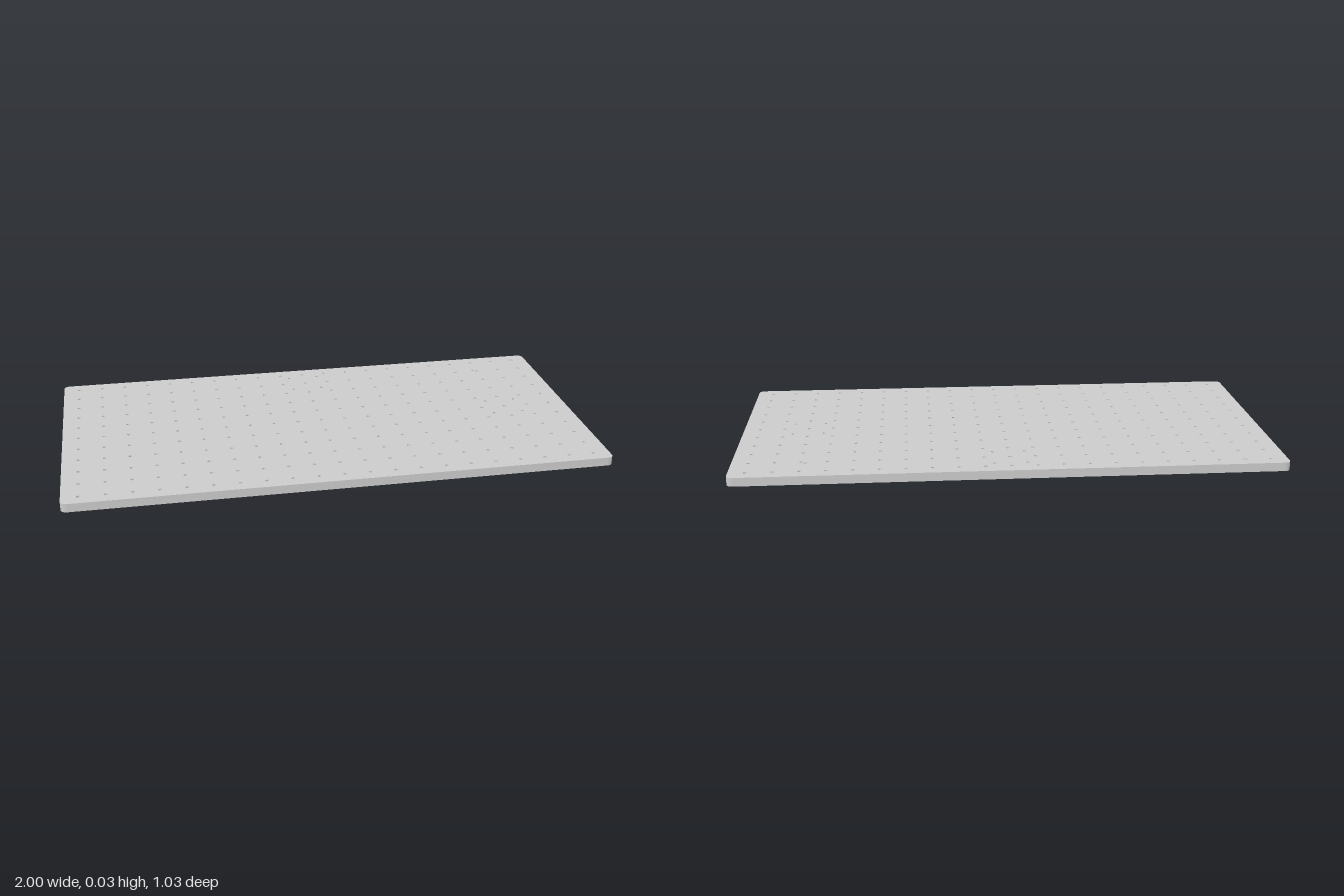
import * as THREE from 'three';
import { toCreasedNormals } from 'three/addons/utils/BufferGeometryUtils.js';

const HALF_X = 1, HALF_Z = 0.517, THICKNESS = 0.032, CORNER = 0.022;
const PITCH = 0.0938, HOLE_RADIUS = 0.0065;

// Rounded rectangle outline, drawn in x and z
function plateOutline() {
  const shape = new THREE.Shape();
  const x = HALF_X - CORNER, z = HALF_Z - CORNER;
  [[x, z], [-x, z], [-x, -z], [x, -z]].forEach(([cx, cz], i) =>
    shape.absarc(cx, cz, CORNER, i * Math.PI / 2, (i + 1) * Math.PI / 2, false));
  shape.closePath();
  return shape;
}

export function createModel() {
  const group = new THREE.Group();
  group.name = 'perforatedPlate';
  const shape = plateOutline();

  const addHole = (x, z) => {
    const hole = new THREE.Path();
    hole.absarc(x, z, HOLE_RADIUS, 0, Math.PI * 2, true);
    shape.holes.push(hole);
  };

  // Regular grid of holes, 21 by 11
  for (let i = -10; i <= 10; i++)
    for (let j = -5; j <= 5; j++) addHole(i * PITCH, j * PITCH);

  // Two square mounting patterns between the grid holes
  for (const [cx, cz] of [[0, -0.379], [0.749, -0.001]])
    for (const sx of [-1, 1])
      for (const sz of [-1, 1]) addHole(cx + sx * 0.059, cz + sz * 0.059);

  // Single extra hole beside a grid hole
  addHole(0.735, -0.386);

  // Lay the plate flat on the ground
  const geometry = new THREE.ExtrudeGeometry(shape, { depth: THICKNESS, bevelEnabled: false, curveSegments: 8 });
  geometry.rotateX(Math.PI / 2).translate(0, THICKNESS, 0);

  const plate = new THREE.Mesh(
    toCreasedNormals(geometry, Math.PI / 3),
    new THREE.MeshStandardMaterial({ color: 0xcccccc }));
  plate.name = 'plate';
  group.add(plate);
  return group;
}
